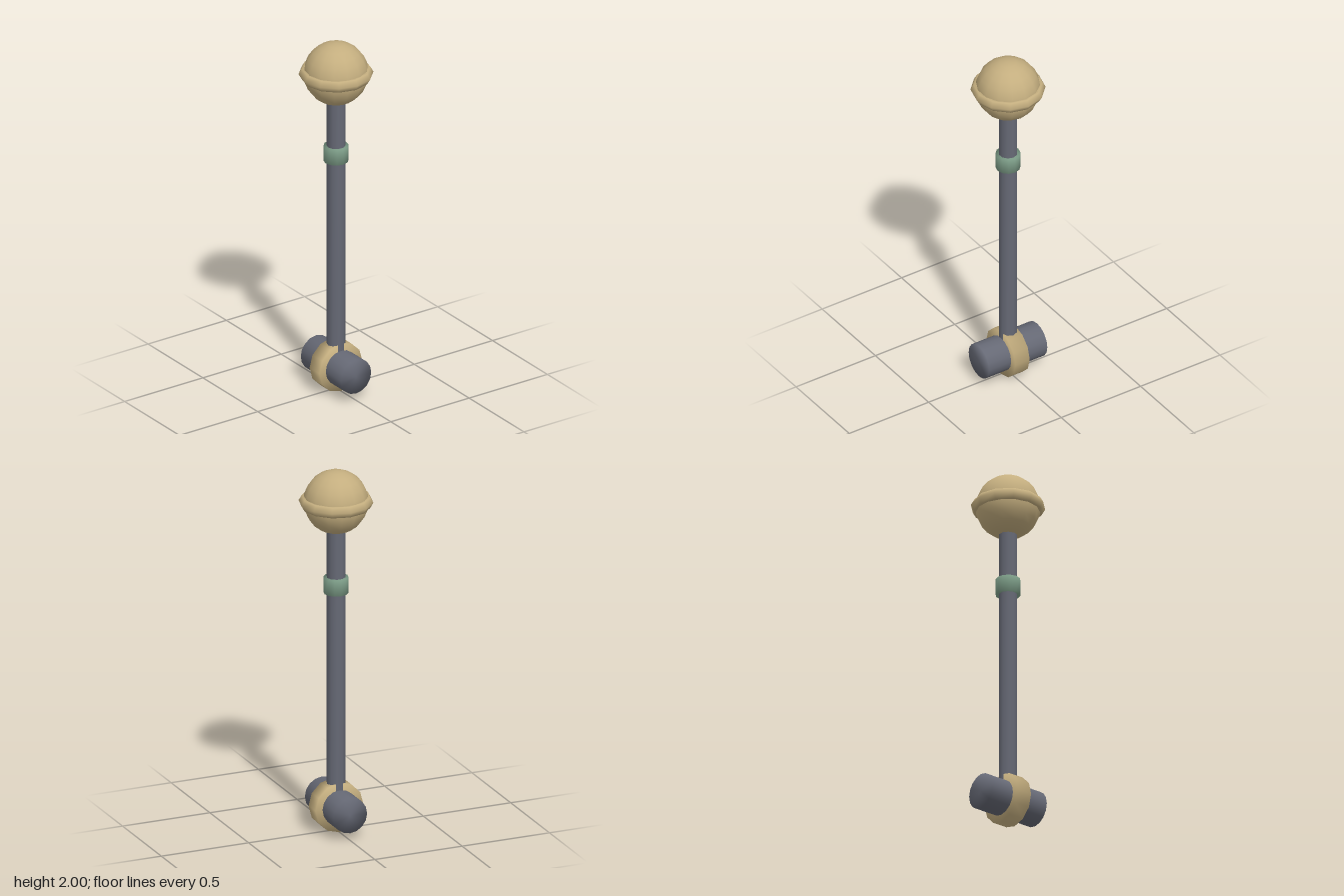
import * as THREE from 'three';
import { mergeVertices } from 'three/addons/utils/BufferGeometryUtils.js';

// Weld all corners so normals run smoothly over caps and sides
function smooth(geometry) {
  geometry.deleteAttribute('normal');
  geometry.deleteAttribute('uv');
  const welded = mergeVertices(geometry, 1e-4);
  welded.computeVertexNormals();
  return welded;
}

function material(name, color) {
  const m = new THREE.MeshStandardMaterial({ color });
  m.name = name;
  return m;
}

export function createModel() {
  const group = new THREE.Group();
  const tan = material('tan', 0xc4ae7f);
  const grey = material('slate grey', 0x666975);
  const green = material('sage green', 0x7c9c87);

  const add = (name, geometry, mat, y) => {
    const mesh = new THREE.Mesh(geometry, mat);
    mesh.name = name;
    mesh.position.y = y;
    group.add(mesh);
    return mesh;
  };
  const cylinder = (r, h, sides) => smooth(new THREE.CylinderGeometry(r, r, h, sides));

  const pivotY = 0.137;
  const ballY = 1.828;

  // Horizontal pivot with a wider hub ring around its middle
  add('pivotBarrel', cylinder(0.097, 0.366, 16).rotateZ(Math.PI / 2), grey, pivotY);
  add('hubRing', cylinder(0.137, 0.09, 12).rotateZ(Math.PI / 2), tan, pivotY);

  // Upright rod from the pivot into the ball, with a small collar
  add('shaft', cylinder(0.05, ballY - pivotY, 10), grey, (ballY + pivotY) / 2);
  add('collar', cylinder(0.066, 0.088, 12), green, 1.365);

  // Ball knob with a ridge around its equator
  add('ballKnob', new THREE.SphereGeometry(0.172, 14, 12).rotateY(Math.PI / 2), tan, ballY);
  add('knobRidge', new THREE.TorusGeometry(0.163, 0.034, 6, 12).rotateX(Math.PI / 2), tan, ballY);

  return group;
}
